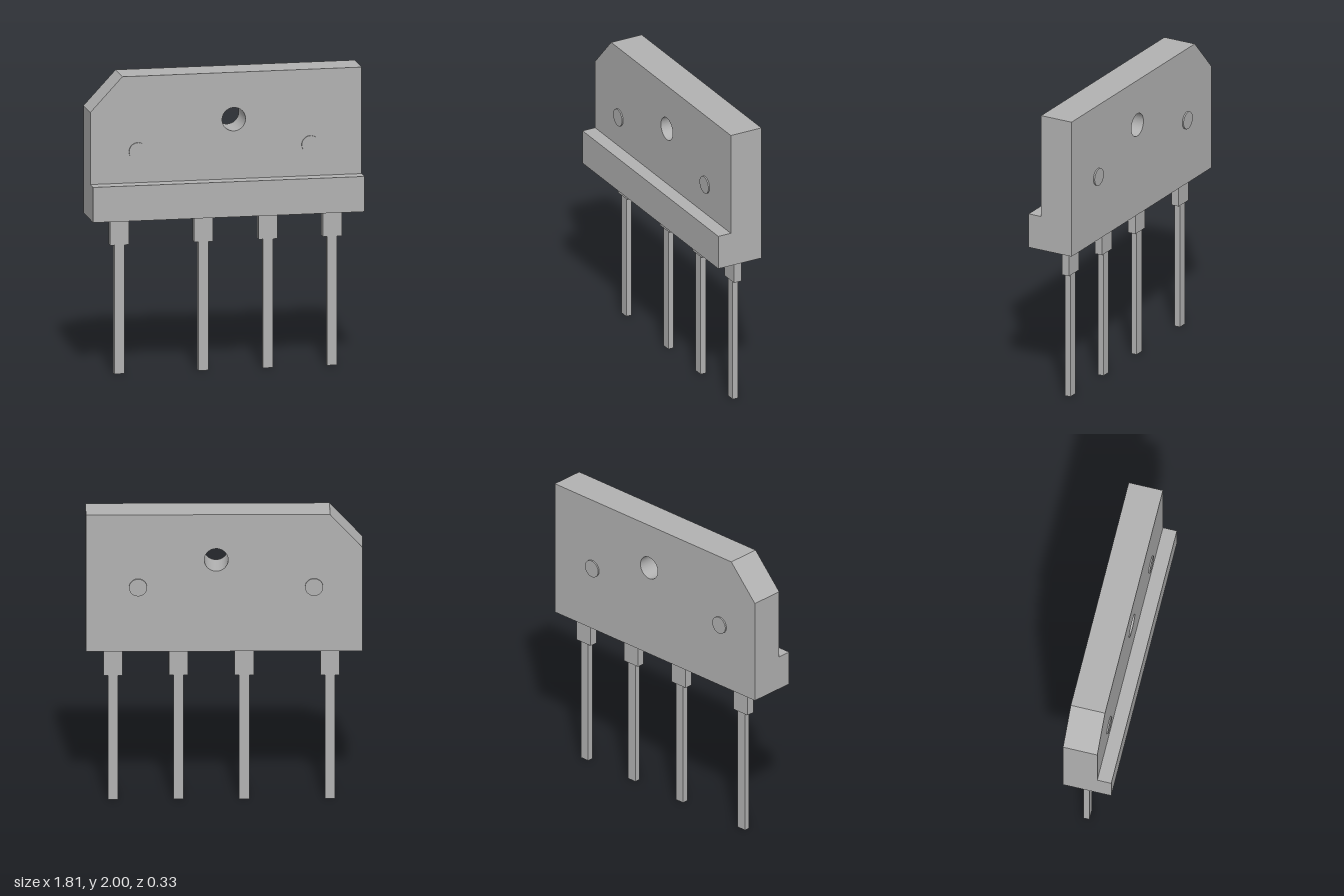
import * as THREE from 'three';

const grey = new THREE.MeshStandardMaterial({ color: 0xb2b2b2 });
grey.name = 'grey';

// Box given by its limits on each axis
function box(name, x0, x1, y0, y1, z0, z1) {
  const mesh = new THREE.Mesh(new THREE.BoxGeometry(x1 - x0, y1 - y0, z1 - z0), grey);
  mesh.position.set((x0 + x1) / 2, (y0 + y1) / 2, (z0 + z1) / 2);
  mesh.name = name;
  return mesh;
}

export function createModel() {
  const model = new THREE.Group();
  model.name = 'bridgeRectifier';

  const left = -0.903, right = 0.903, bottom = 1.055, top = 2;
  const back = -0.156, front = 0.074;

  // Upright body with one cut corner and a mounting hole
  const outline = new THREE.Shape([
    [left, bottom], [right, bottom], [right, top], [-0.69, top], [left, 1.77],
  ].map(([x, y]) => new THREE.Vector2(x, y)));
  const hole = new THREE.Path();
  hole.absarc(0.052, 1.687, 0.078, 0, Math.PI * 2, true);
  outline.holes.push(hole);
  const bodyGeometry = new THREE.ExtrudeGeometry(outline, {
    depth: front - back, bevelEnabled: false, curveSegments: 48,
  });
  const body = new THREE.Mesh(bodyGeometry, grey);
  body.position.z = back;
  body.name = 'body';
  model.add(body);

  // Thicker ledge along the bottom of the front
  model.add(box('frontLedge', left, right, bottom, 1.29, front, 0.168));

  // Round raised marks, each standing out on both faces
  for (const x of [-0.587, 0.562]) {
    for (const [name, z0, z1] of [['frontMark', front, 0.083], ['backMark', -0.166, back]]) {
      const mark = new THREE.Mesh(new THREE.CylinderGeometry(0.059, 0.059, z1 - z0, 48), grey);
      mark.rotation.x = Math.PI / 2;
      mark.position.set(x, 1.499, (z0 + z1) / 2);
      mark.name = name;
      model.add(mark);
    }
  }

  // Four leads, each a wide shoulder over a thin pin
  for (const x of [-0.691, -0.132, 0.298, 0.725]) {
    const lead = new THREE.Group();
    lead.name = 'lead';
    lead.add(box('leadShoulder', x - 0.063, x + 0.063, 0.86, bottom, -0.07, -0.015));
    lead.add(box('leadPin', x - 0.033, x + 0.033, 0, 0.86, -0.062, -0.022));
    model.add(lead);
  }

  return model;
}
